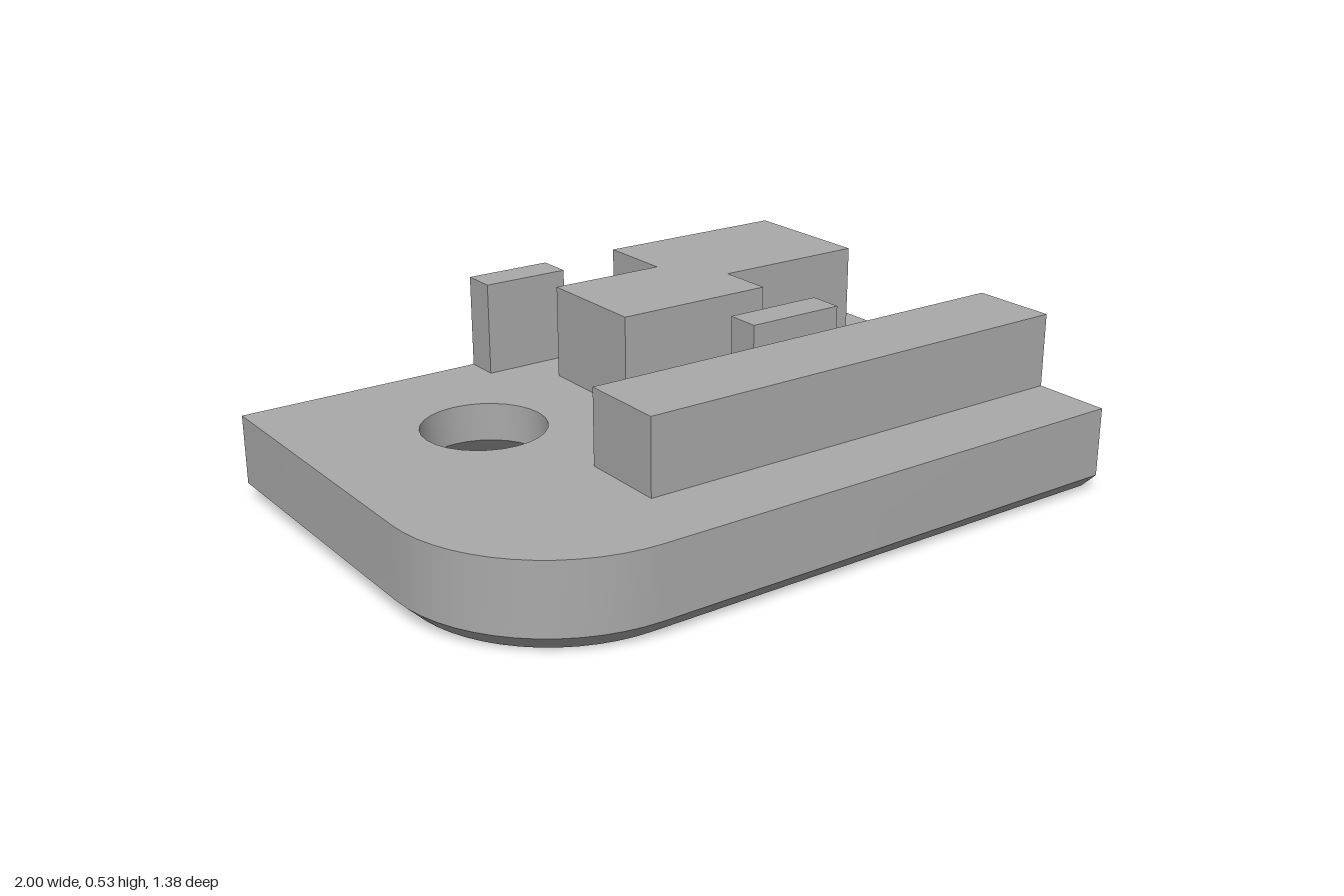
import * as THREE from 'three';
import { toCreasedNormals } from 'three/addons/utils/BufferGeometryUtils.js';

const TOP = 0.255, CHAMFER = 0.05, EDGE = 0.688;
const grey = new THREE.MeshStandardMaterial({ color: 0xaaaaaa });
grey.name = 'plain grey';

// Plan points are (x, -z), counter-clockwise seen from above.
function plateOutline(inset) {
  const pts = [[1, -EDGE + inset], [1, EDGE], [-1 + inset, EDGE]];
  const r = 0.47 - inset, n = 14;
  for (let i = 0; i <= n; i++) {
    const a = Math.PI + (i / n) * Math.PI / 2;
    pts.push([-0.53 + r * Math.cos(a), -0.218 + r * Math.sin(a)]);
  }
  return pts.map(([x, y]) => new THREE.Vector2(x, y));
}

function circle(r, n = 28) {
  return Array.from({ length: n }, (_, i) => {
    const a = (i / n) * Math.PI * 2;
    return new THREE.Vector2(-0.49 + r * Math.cos(a), 0.22 + r * Math.sin(a));
  });
}

function plateGeometry() {
  const pos = [];
  const tri = (...corners) => corners.forEach(([p, y]) => pos.push(p.x, y, -p.y));
  // Wall between two matching rings; inward walls face the hole
  const wall = (low, y0, high, y1, inward) => low.forEach((p, i) => {
    const j = (i + 1) % low.length;
    const a = [p, y0], b = [low[j], y0], c = [high[j], y1], d = [high[i], y1];
    if (inward) { tri(a, c, b); tri(a, d, c); } else { tri(a, b, c); tri(a, c, d); }
  });
  const cap = (outer, hole, y, up) => {
    const all = [...outer, ...hole];
    for (const [a, b, c] of THREE.ShapeUtils.triangulateShape(outer, [hole])) {
      const t = [all[a], all[b], all[c]].map(p => [p, y]);
      tri(...(up ? t : t.reverse()));
    }
  };

  const foot = plateOutline(CHAMFER), rim = plateOutline(0);
  const bore = circle(0.178), sink = circle(0.32);
  wall(foot, 0, rim, CHAMFER, false);
  wall(rim, CHAMFER, rim, TOP, false);
  wall(sink, 0, bore, 0.143, true);
  wall(bore, 0.143, bore, TOP, true);
  cap(rim, bore, TOP, true);
  cap(foot, sink, 0, false);

  const g = new THREE.BufferGeometry();
  g.setAttribute('position', new THREE.Float32BufferAttribute(pos, 3));
  return toCreasedNormals(g, 0.5);
}

export function createModel() {
  const model = new THREE.Group();
  model.name = 'mountingBlock';
  const add = (name, geometry) => {
    const mesh = new THREE.Mesh(geometry, grey);
    mesh.name = name;
    model.add(mesh);
    return mesh;
  };
  // Upright box standing on the plate
  const block = (name, x0, x1, z0, z1, top) =>
    add(name, new THREE.BoxGeometry(x1 - x0, top - TOP, z1 - z0))
      .position.set((x0 + x1) / 2, (top + TOP) / 2, (z0 + z1) / 2);

  // Base with rounded corner, chamfered foot and countersunk hole
  add('basePlate', plateGeometry());

  block('frontRail', -0.4, 1, 0.195, 0.455, 0.475);
  block('middleTab', 0.145, 0.445, 0.07, 0.172, 0.53);
  block('backTab', -0.255, 0.01, -EDGE, -0.585, 0.53);

  // Stepped block
  const plan = [[-0.1, 0.095], [0.39, 0.095], [0.39, 0.265], [0.87, 0.265],
    [0.87, EDGE], [0.26, EDGE], [0.26, 0.45], [-0.1, 0.45]];
  const shape = new THREE.Shape(plan.map(([x, y]) => new THREE.Vector2(x, y)));
  const stepped = new THREE.ExtrudeGeometry(shape, { depth: 0.53 - TOP, bevelEnabled: false });
  add('steppedBlock', stepped.rotateX(-Math.PI / 2)).position.y = TOP;

  return model;
}
